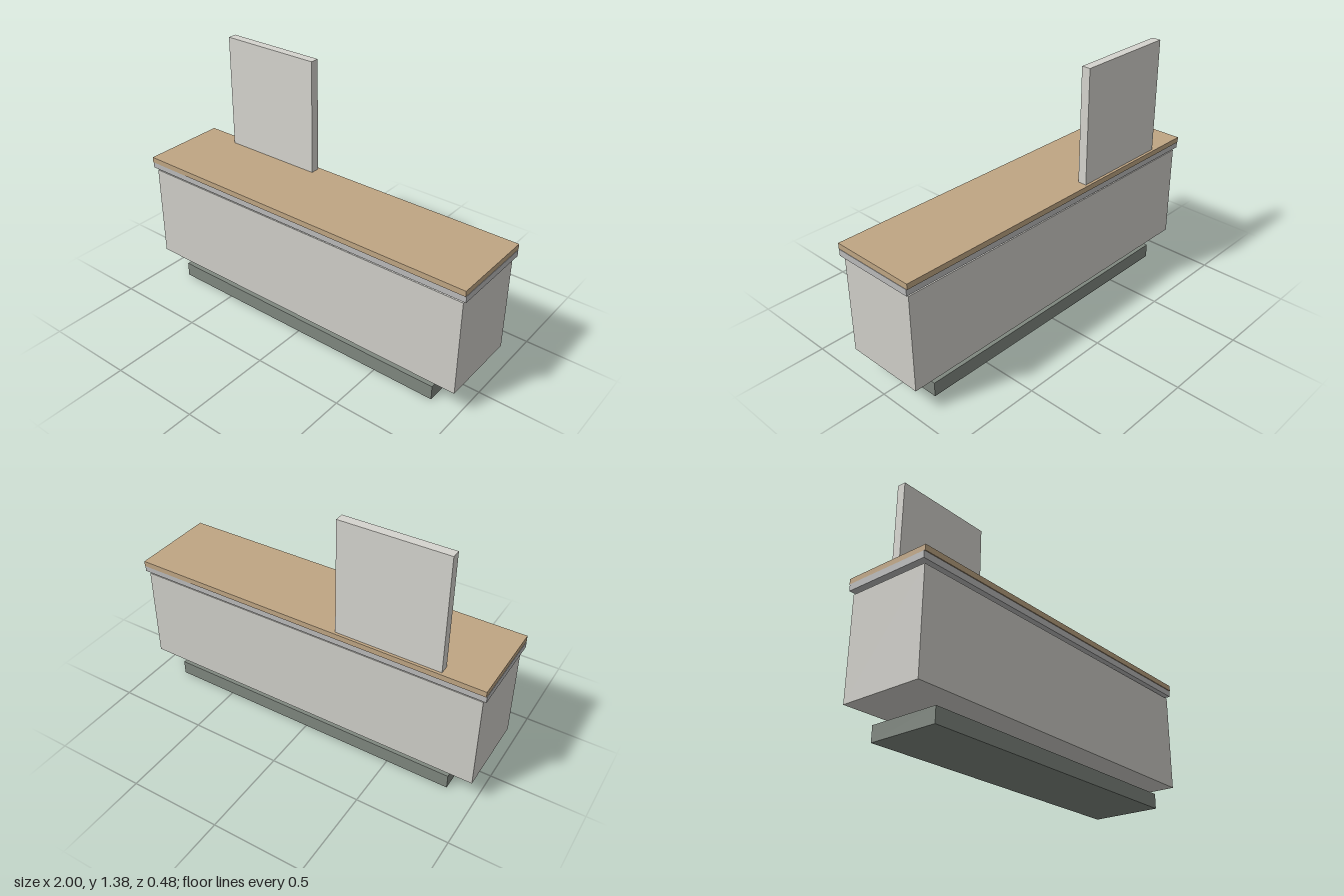
import * as THREE from 'three';

// Adds a named box given by its [min, max] extents on each axis
function addBox(group, name, color, [x0, x1], [y0, y1], [z0, z1]) {
  const mesh = new THREE.Mesh(
    new THREE.BoxGeometry(x1 - x0, y1 - y0, z1 - z0),
    new THREE.MeshStandardMaterial({ color })
  );
  mesh.name = name;
  mesh.position.set((x0 + x1) / 2, (y0 + y1) / 2, (z0 + z1) / 2);
  group.add(mesh);
}

const span = (half) => [-half, half];

export function createModel() {
  const counter = new THREE.Group();
  counter.name = 'counter';

  // Recessed plinth, with a shadow gap below the body
  addBox(counter, 'plinth', 0x7f877f, span(0.843), [0, 0.08], span(0.19));
  // Main cabinet body
  addBox(counter, 'body', 0xcfcec8, span(0.982), [0.14, 0.668], span(0.224));
  // Slab under the worktop, with a thin gap above the body
  addBox(counter, 'trimSlab', 0xbababa, span(1), [0.683, 0.718], span(0.235));
  // Wooden worktop
  addBox(counter, 'worktop', 0xbfa583, span(0.998), [0.718, 0.748], span(0.24));
  // Upright panel standing at the back right of the worktop
  addBox(counter, 'backPanel', 0xd5d4ce, [-0.77, -0.2], [0.748, 1.376], [-0.225, -0.176]);

  return counter;
}
